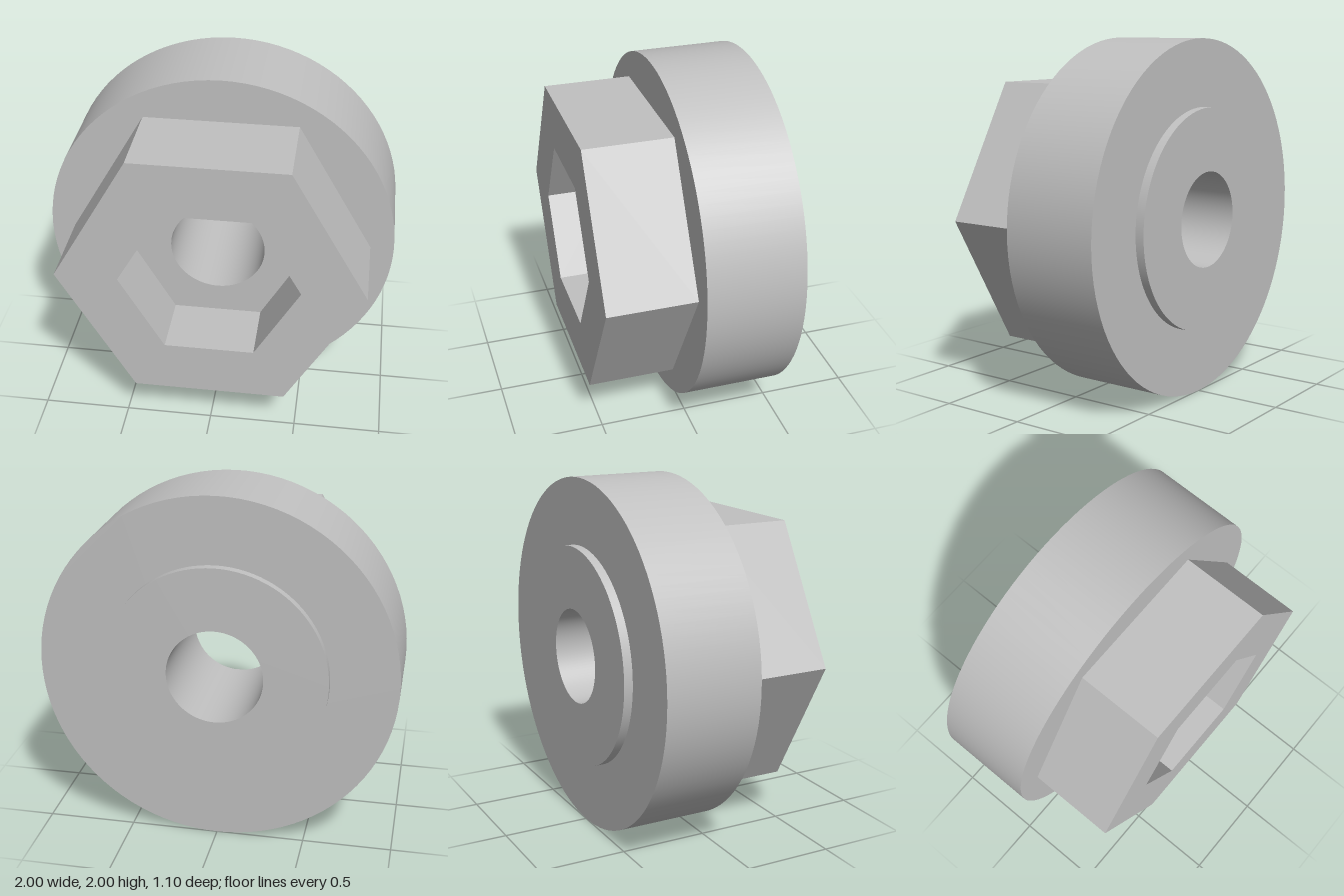
import * as THREE from 'three';
import { mergeGeometries } from 'three/addons/utils/BufferGeometryUtils.js';

const ROUND = 96;
const HEX = 6;

// Points of a regular polygon with one corner on +x
function ring(radius, sides) {
  return Array.from({ length: sides }, (_, i) => {
    const a = (i / sides) * Math.PI * 2;
    return new THREE.Vector2(Math.cos(a) * radius, Math.sin(a) * radius);
  });
}

// Reverses the facing of a geometry
function flip(geometry) {
  const index = geometry.index.array;
  for (let i = 0; i < index.length; i += 3) {
    [index[i], index[i + 1]] = [index[i + 1], index[i]];
  }
  const n = geometry.attributes.normal;
  for (let i = 0; i < n.count; i++) n.setXYZ(i, -n.getX(i), -n.getY(i), -n.getZ(i));
  return geometry;
}

// Wall running along z; inward walls line a hole
function wall(radius, sides, z0, z1, inward = false) {
  const g = new THREE.CylinderGeometry(radius, radius, z1 - z0, sides, 1, true, Math.PI / 2);
  g.rotateX(Math.PI / 2).translate(0, 0, (z0 + z1) / 2);
  if (inward) flip(g);
  const flat = g.toNonIndexed();
  if (sides === HEX) flat.computeVertexNormals();
  return flat;
}

// Flat face with a hole, facing +z or -z
function face(outer, hole, z, back = false) {
  const shape = new THREE.Shape(outer);
  shape.holes.push(new THREE.Path(hole));
  const g = new THREE.ShapeGeometry(shape).translate(0, 0, z);
  if (back) flip(g);
  return g.toNonIndexed();
}

export function createModel() {
  const model = new THREE.Group();
  model.name = 'hexFlangeBushing';
  const steel = new THREE.MeshStandardMaterial({ color: 0xc0c0c0 });
  steel.name = 'grey steel';

  const flangeR = 1, hexR = 0.866, socketR = 0.508, bossR = 0.625, boreR = 0.27;
  const front = 0.55, flangeFront = 0.05, flangeBack = -0.5, back = -0.55;
  const socketFloor = 0.175;

  function add(name, parts) {
    const mesh = new THREE.Mesh(mergeGeometries(parts), steel);
    mesh.name = name;
    mesh.position.y = 1;
    model.add(mesh);
  }

  // Round flange
  add('flange', [
    wall(flangeR, ROUND, flangeBack, flangeFront),
    face(ring(flangeR, ROUND), ring(hexR, HEX), flangeFront),
    face(ring(flangeR, ROUND), ring(bossR, ROUND), flangeBack, true),
  ]);

  // Hexagonal head
  add('hexHead', [
    wall(hexR, HEX, flangeFront, front),
    face(ring(hexR, HEX), ring(socketR, HEX), front),
  ]);

  // Hexagonal socket sunk into the head
  add('hexSocket', [
    wall(socketR, HEX, socketFloor, front, true),
    face(ring(socketR, HEX), ring(boreR, ROUND), socketFloor),
  ]);

  // Thin raised boss on the back
  add('backBoss', [
    wall(bossR, ROUND, back, flangeBack),
    face(ring(bossR, ROUND), ring(boreR, ROUND), back, true),
  ]);

  // Through bore
  add('bore', [wall(boreR, ROUND, back, socketFloor, true)]);

  return model;
}
